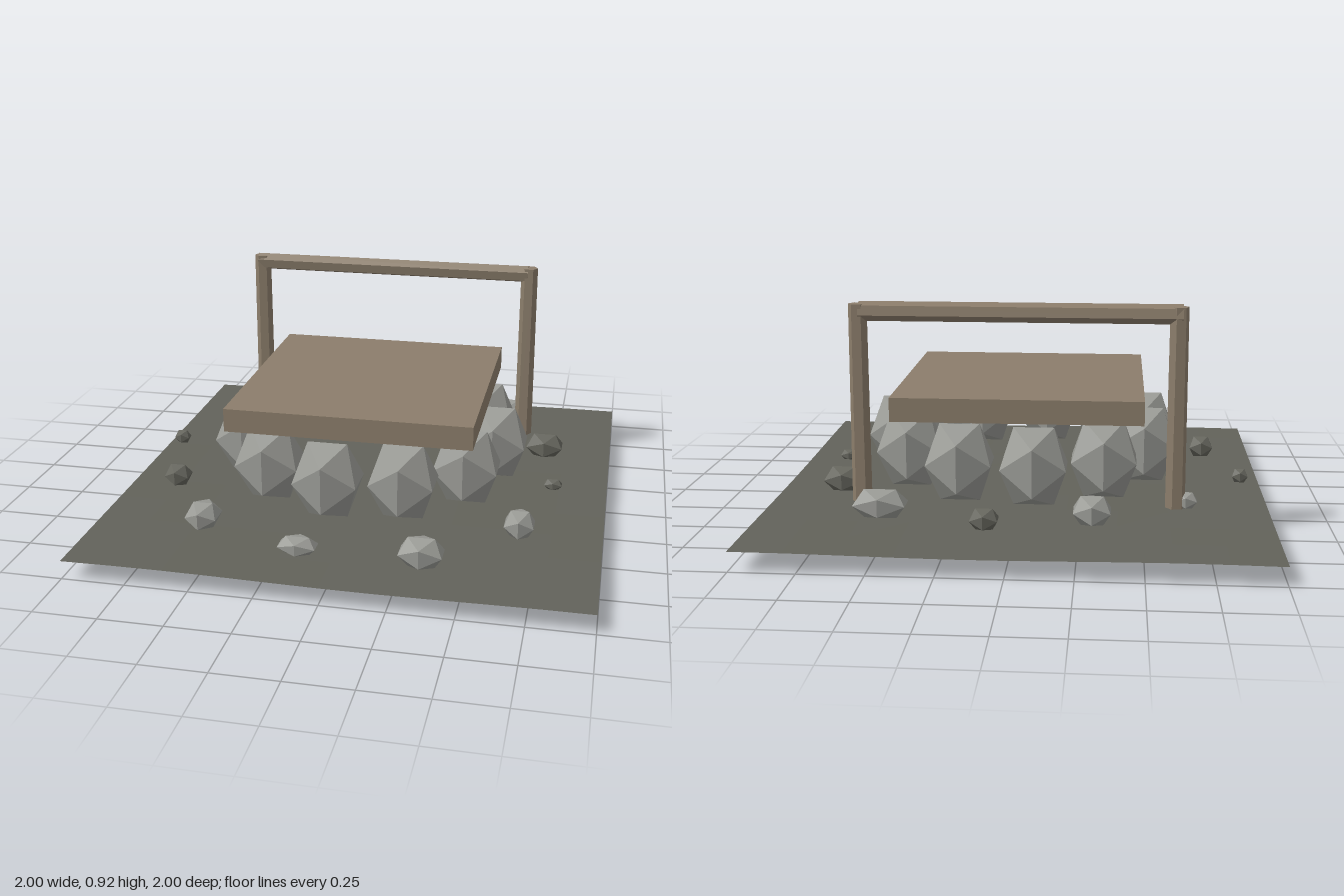
import * as THREE from 'three';

const mat = (name, color, extra = {}) => {
  const m = new THREE.MeshStandardMaterial({ color, flatShading: true, ...extra });
  m.name = name;
  return m;
};

export function createModel() {
  const model = new THREE.Group();
  const soil = mat('soil', 0x62625a, { side: THREE.DoubleSide });
  const shaft = mat('shaftStone', 0x62645c);
  const stone = mat('paleStone', 0x999a95);
  const darkStone = mat('darkStone', 0x66665e);
  const wood = mat('weatheredWood', 0x8b7d6b);

  const add = (name, geometry, material, x, y, z, parent = model) => {
    const mesh = new THREE.Mesh(geometry, material);
    mesh.name = name;
    mesh.position.set(x, y, z);
    parent.add(mesh);
    return mesh;
  };

  // Gently uneven ground sheet
  const groundGeo = new THREE.PlaneGeometry(2, 2, 10, 10).rotateX(-Math.PI / 2);
  const p = groundGeo.attributes.position;
  for (let i = 0; i < p.count; i++) {
    p.setY(i, 0.004 * Math.sin(p.getX(i) * 4 + 1) * Math.cos(p.getZ(i) * 3));
  }
  groundGeo.computeVertexNormals();
  add('ground', groundGeo, soil, 0, 0.074, 0);

  // Round shaft sunk below the ground
  add('wellShaft', new THREE.CylinderGeometry(0.38, 0.38, 0.066, 16), shaft, 0, 0.033, 0);

  // Ring of boulders
  const rock = new THREE.IcosahedronGeometry(1, 0);
  const ring = new THREE.Group();
  ring.name = 'stoneRing';
  model.add(ring);
  for (let i = 0; i < 11; i++) {
    const a = (i / 11) * Math.PI * 2;
    add('ringStone', rock, stone, 0.525 * Math.cos(a), 0.285, 0.525 * Math.sin(a), ring)
      .scale.set(0.15, 0.181, 0.15);
  }

  // Flat cover slab
  add('coverSlab', new THREE.BoxGeometry(0.99, 0.095, 1.0), wood, -0.004, 0.493, 0.003);

  // Two posts and a crossbeam
  const postGeo = new THREE.CylinderGeometry(0.036, 0.039, 0.78, 6);
  for (const [name, x, turn] of [['rightPost', -0.621, -0.35], ['leftPost', 0.6, 0.52]]) {
    add(name, postGeo, wood, x, 0.52, -0.511).rotation.y = turn;
  }
  const beamGeo = new THREE.CylinderGeometry(0.038, 0.038, 1.23, 6).rotateY(0.35).rotateZ(Math.PI / 2);
  add('crossbeam', beamGeo, wood, -0.02, 0.882, -0.511);

  // Scattered rocks: x, y, z, half width, half height, half depth, dark
  const rocks = [
    [-0.305, 0.168, -0.70, 0.070, 0.056, 0.078, 0],
    [0.09, 0.158, -0.80, 0.052, 0.040, 0.057, 1],
    [0.50, 0.168, -0.67, 0.100, 0.056, 0.072, 0],
    [-0.66, 0.155, -0.50, 0.045, 0.032, 0.043, 0],
    [0.715, 0.158, -0.31, 0.077, 0.051, 0.066, 1],
    [-0.905, 0.147, -0.11, 0.032, 0.029, 0.031, 1],
    [0.78, 0.150, 0.09, 0.036, 0.022, 0.030, 1],
    [-0.77, 0.157, 0.32, 0.050, 0.045, 0.054, 1],
    [0.68, 0.160, 0.51, 0.057, 0.054, 0.067, 0],
    [-0.53, 0.173, 0.70, 0.062, 0.051, 0.076, 0],
    [-0.11, 0.163, 0.86, 0.072, 0.035, 0.050, 0],
    [0.35, 0.166, 0.83, 0.082, 0.059, 0.066, 0],
  ];
  const loose = new THREE.Group();
  loose.name = 'scatteredRocks';
  model.add(loose);
  for (const [x, y, z, w, h, d, dark] of rocks) {
    add('looseRock', rock, dark ? darkStone : stone, x, y, z, loose)
      .scale.set(w, h, d).divideScalar(0.851);
  }

  return model;
}
